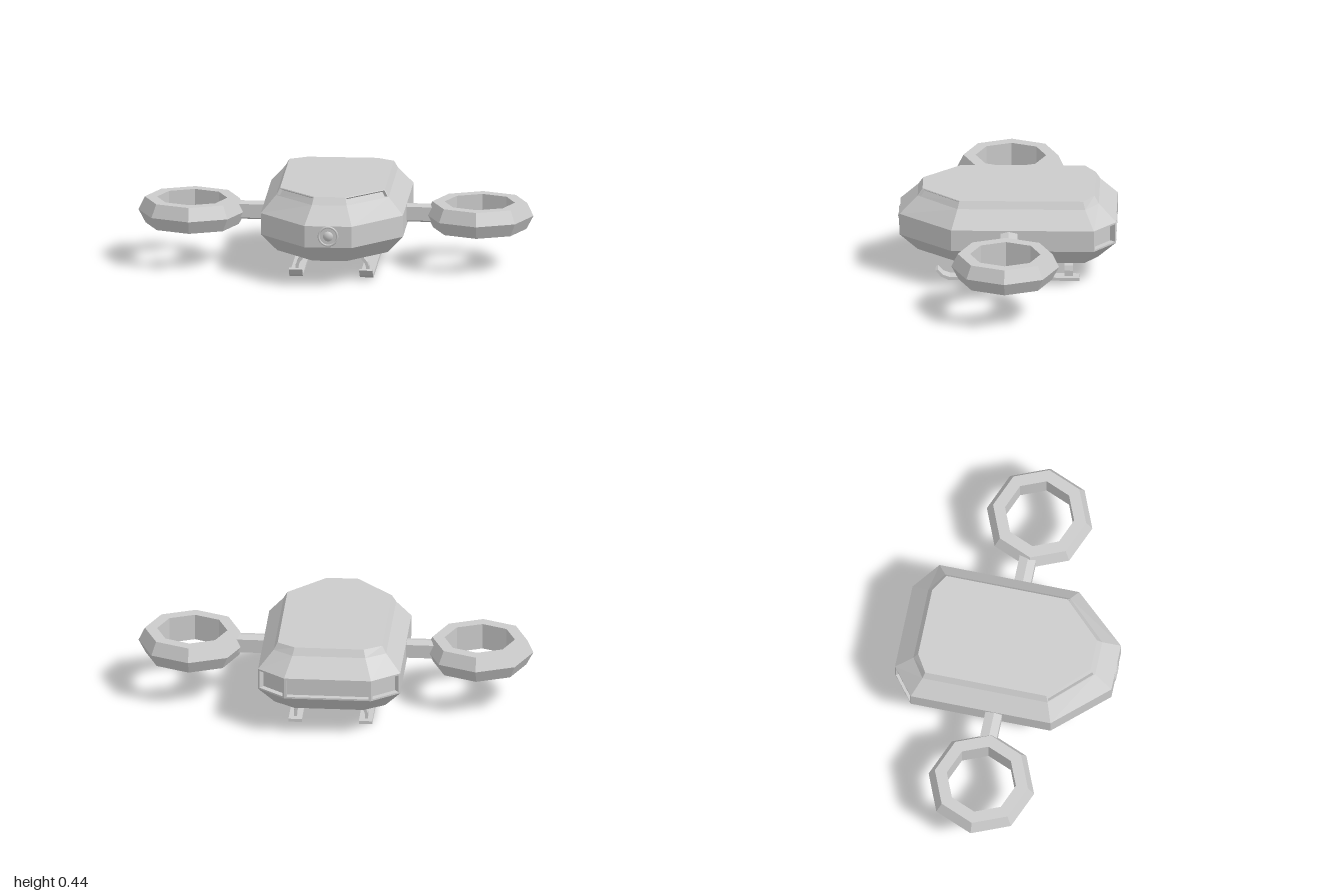
import * as THREE from 'three';

const grey = new THREE.MeshStandardMaterial({ color: 0xcccccc, flatShading: true });
const smoothGrey = new THREE.MeshStandardMaterial({ color: 0xcccccc });
const V = (x, y, z) => new THREE.Vector3(x, y, z);

function part(geometry, name, parent, material = grey) {
  const mesh = new THREE.Mesh(geometry, material);
  mesh.name = name;
  parent.add(mesh);
  return mesh;
}

// Eight-sided horizontal outline mirrored from its +x half, front to back
function ring(y, half) {
  const right = half.map(([x, z]) => V(x, y, z));
  const left = half.map(([x, z]) => V(-x, y, z)).reverse();
  return [...right, ...left];
}

// Collects flat polygons, corners counter-clockwise seen from outside
function polygonBuilder() {
  const pos = [];
  const face = (...p) => {
    for (let i = 1; i < p.length - 1; i++) {
      for (const v of [p[0], p[i], p[i + 1]]) pos.push(v.x, v.y, v.z);
    }
  };
  // Quad with a window sunk into it: frame, side walls and floor
  const recess = (quad, marginU, marginV, depth) => {
    const [a, b, c, d] = quad;
    const at = (u, v) => a.clone().lerp(b, u).lerp(d.clone().lerp(c, u), v);
    const normal = b.clone().sub(a).cross(d.clone().sub(a)).normalize();
    const hole = [
      at(marginU, marginV), at(1 - marginU, marginV),
      at(1 - marginU, 1 - marginV), at(marginU, 1 - marginV),
    ];
    const floor = hole.map((p) => p.clone().addScaledVector(normal, -depth));
    for (let i = 0; i < 4; i++) {
      const j = (i + 1) % 4;
      face(quad[i], quad[j], hole[j], hole[i]);
      face(hole[i], hole[j], floor[j], floor[i]);
    }
    face(...floor);
  };
  const build = () => {
    const g = new THREE.BufferGeometry();
    g.setAttribute('position', new THREE.Float32BufferAttribute(pos, 3));
    g.computeVertexNormals();
    return g;
  };
  return { face, recess, build };
}

function bodyGeometry() {
  const waist = [[0.12, 0.545], [0.36, 0.28], [0.36, -0.44], [0.22, -0.55]];
  const rings = [
    ring(0.12, [[0.085, 0.455], [0.28, 0.24], [0.28, -0.39], [0.175, -0.46]]),
    ring(0.21, waist),
    ring(0.32, waist),
    ring(0.408, [[0.088, 0.455], [0.285, 0.25], [0.285, -0.395], [0.185, -0.462]]),
    ring(0.445, [[0.08, 0.43], [0.265, 0.24], [0.265, -0.385], [0.175, -0.44]]),
  ];
  const b = polygonBuilder();
  for (let r = 0; r < 4; r++) {
    for (let i = 0; i < 8; i++) {
      const j = (i + 1) % 8;
      const quad = [rings[r][i], rings[r][j], rings[r + 1][j], rings[r + 1][i]];
      const rearWindow = r === 1 && i >= 2 && i <= 4;
      const windshield = r === 3 && (i === 0 || i === 6);
      if (rearWindow) b.recess(quad, i === 3 ? 0.03 : 0.06, 0.08, 0.03);
      else if (windshield) b.recess(quad, 0.02, 0.12, 0.018);
      else b.face(...quad);
    }
  }
  b.face(...rings[4]);
  b.face(...rings[0].slice().reverse());
  return b.build();
}

// Extrudes a (z, y) side profile across a width centred on x = 0
function sideProfile(points, width) {
  const shape = new THREE.Shape(points.map(([z, y]) => new THREE.Vector2(z, y)));
  const g = new THREE.ExtrudeGeometry(shape, { depth: width, bevelEnabled: false });
  return g.rotateY(-Math.PI / 2).translate(width / 2, 0, 0);
}

// Curved skid leg drawn in the (x, y) plane
function legGeometry(side) {
  const pts = [
    [0.128, 0.125], [0.144, 0.125], [0.156, 0.098], [0.178, 0.07], [0.187, 0.045],
    [0.187, 0.012], [0.172, 0.012], [0.172, 0.042], [0.165, 0.062], [0.143, 0.09],
  ];
  const shape = new THREE.Shape(pts.map(([x, y]) => new THREE.Vector2(x * side, y)));
  return new THREE.ExtrudeGeometry(shape, { depth: 0.043, bevelEnabled: false });
}

export function createModel() {
  const model = new THREE.Group();
  model.name = 'aircraft';

  part(bodyGeometry(), 'body', model);

  // Nose light in a round bezel
  const light = part(new THREE.SphereGeometry(0.038, 24, 16), 'noseLight', model, smoothGrey);
  light.position.set(0, 0.268, 0.517);
  const bezel = part(new THREE.TorusGeometry(0.047, 0.006, 8, 32), 'noseLightBezel', model, smoothGrey);
  bezel.position.set(0, 0.268, 0.544);

  // Octagonal duct section, ordered so the faces point outwards
  const duct = [
    [0.178, 0.195], [0.236, 0.195], [0.272, 0.263], [0.24, 0.33], [0.178, 0.33], [0.178, 0.195],
  ].map(([r, y]) => new THREE.Vector2(r, y));
  const arm = [
    [0.03, 0.235], [0.03, 0.305], [-0.01, 0.315], [-0.055, 0.305], [-0.055, 0.235], [-0.01, 0.22],
  ];
  const skid = [
    [-0.365, 0], [0.295, 0], [0.335, 0.018], [0.362, 0.05],
    [0.35, 0.056], [0.325, 0.028], [0.29, 0.016], [-0.365, 0.016],
  ];

  for (const side of [1, -1]) {
    const label = side > 0 ? 'left' : 'right';
    const rotor = part(new THREE.LatheGeometry(duct, 8), label + 'RotorDuct', model);
    rotor.position.x = side * 0.728;
    const strut = part(sideProfile(arm, 0.17), label + 'RotorArm', model);
    strut.position.x = side * 0.415;

    // Landing skid with front and rear legs
    const runner = part(sideProfile(skid, 0.068), label + 'Skid', model);
    runner.position.x = side * 0.178;
    for (const [z, end] of [[0.216, 'Front'], [-0.331, 'Rear']]) {
      const leg = part(legGeometry(side), label + end + 'SkidLeg', model);
      leg.position.z = z;
    }
  }
  return model;
}
